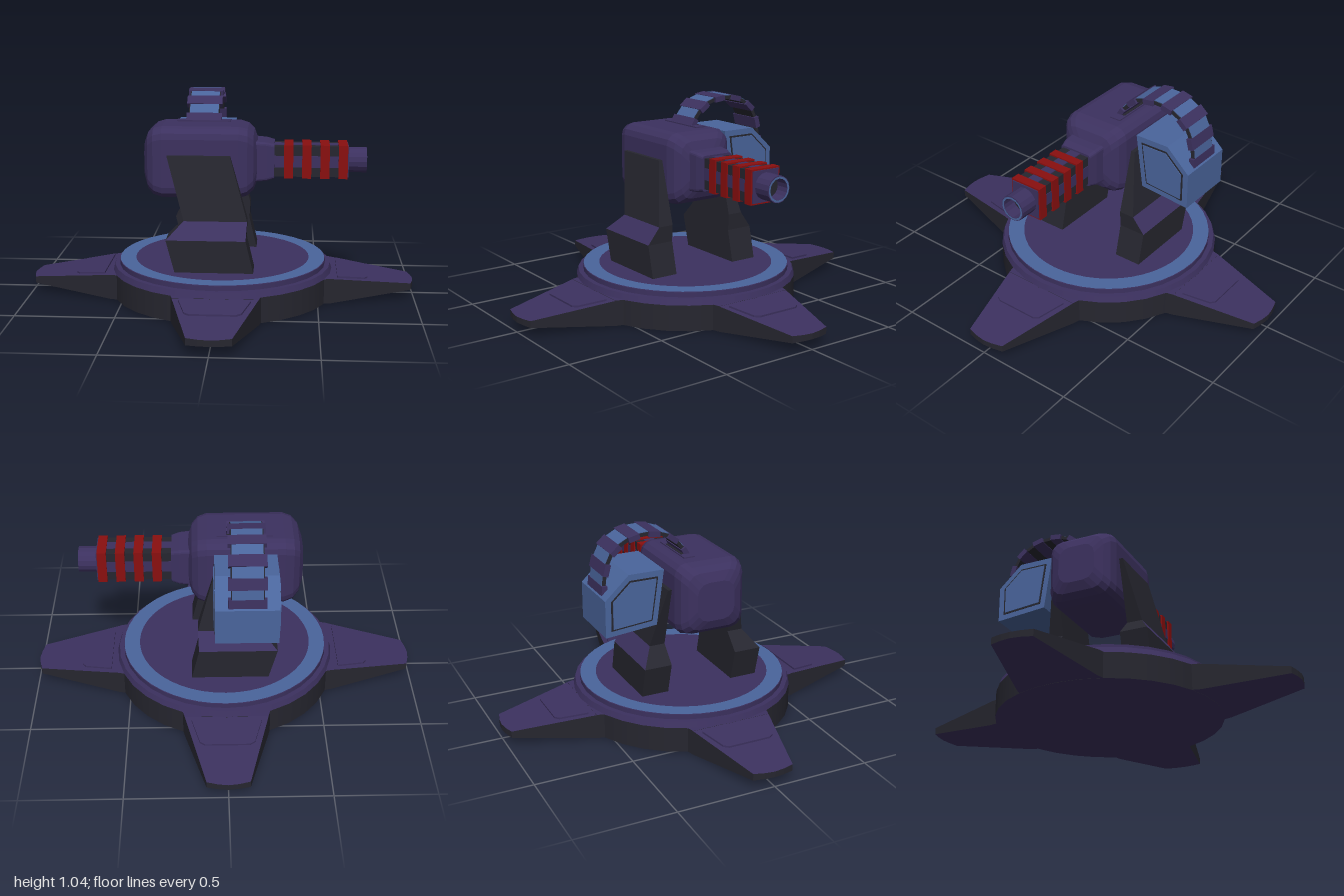
import * as THREE from 'three';

const paint = (name, color) => {
  const m = new THREE.MeshStandardMaterial({ color });
  m.name = name;
  return m;
};

// Skin a list of equal-length point rings, with end caps; pick(level, side) gives a material index
function loft(rings, pick = () => 0) {
  const buckets = [[], []];
  const n = rings[0].length;
  const tri = (k, ...pts) => pts.forEach(p => buckets[k].push(...p));
  for (let l = 0; l < rings.length - 1; l++) {
    for (let i = 0; i < n; i++) {
      const j = (i + 1) % n, a = rings[l], b = rings[l + 1], k = pick(l, i);
      tri(k, a[i], a[j], b[j]);
      tri(k, a[i], b[j], b[i]);
    }
  }
  const first = rings[0], last = rings[rings.length - 1];
  for (let i = 1; i < n - 1; i++) {
    tri(0, first[0], first[i + 1], first[i]);
    tri(0, last[0], last[i], last[i + 1]);
  }
  const g = new THREE.BufferGeometry();
  g.setAttribute('position', new THREE.Float32BufferAttribute([...buckets[0], ...buckets[1]], 3));
  g.addGroup(0, buckets[0].length / 3, 0);
  g.addGroup(buckets[0].length / 3, buckets[1].length / 3, 1);
  g.computeVertexNormals();
  return g;
}

// Rounded rectangle ring across the x axis
function roundedRing(x, hy, hz, r, cy) {
  const pts = [];
  const corners = [[1, 1], [-1, 1], [-1, -1], [1, -1]];
  corners.forEach(([sy, sz], c) => {
    for (let k = 0; k <= 3; k++) {
      const a = (c + k / 3) * Math.PI / 2;
      pts.push([x, cy + sy * (hy - r) + r * Math.cos(a), sz * (hz - r) + r * Math.sin(a)]);
    }
  });
  return pts;
}

// Plan outline (radius, width) raised to a slab whose underside and top follow the radius
function slab(points, low, high) {
  const g = new THREE.ExtrudeGeometry(new THREE.Shape(points.map(p => new THREE.Vector2(...p))),
    { depth: 1, bevelEnabled: false });
  g.rotateX(-Math.PI / 2);
  const p = g.attributes.position;
  for (let i = 0; i < p.count; i++) p.setY(i, p.getY(i) > 0.5 ? high(p.getX(i)) : low(p.getX(i)));
  g.computeVertexNormals();
  return g;
}

export function createModel() {
  const purple = paint('purple armour', 0x3c315f);
  const dark = paint('dark metal', 0x26262f);
  const blue = paint('blue trim', 0x4a659c);
  const red = paint('red bands', 0x8a0f0f);
  const model = new THREE.Group();
  model.name = 'turret';

  const add = (name, geometry, material, x = 0, y = 0, z = 0, parent = model) => {
    const m = new THREE.Mesh(geometry, material);
    m.name = name;
    m.position.set(x, y, z);
    parent.add(m);
    return m;
  };
  const box = (name, w, h, d, mat, x, y, z, parent) =>
    add(name, new THREE.BoxGeometry(w, h, d), mat, x, y, z, parent);

  // Round base
  add('baseDisc', new THREE.CylinderGeometry(0.575, 0.575, 0.13, 32), [dark, purple, purple], 0, 0.065, 0);
  add('baseFlange', new THREE.CylinderGeometry(0.565, 0.575, 0.03, 32), purple, 0, 0.145, 0);
  add('turntable', new THREE.CylinderGeometry(0.54, 0.54, 0.03, 32), purple, 0, 0.17, 0);
  const trim = new THREE.RingGeometry(0.455, 0.537, 48);
  trim.rotateX(-Math.PI / 2);
  add('baseTrimRing', trim, blue, 0, 0.188, 0);

  // Four tapering feet
  const slope = (a, b) => r => a + (b - a) * (r - 0.57) / 0.43;
  const top = slope(0.13, 0.08);
  const root = slab([[0.35, -0.21], [0.53, -0.22], [0.57, -0.21], [0.57, 0.21], [0.53, 0.22], [0.35, 0.21]],
    () => 0.001, () => 0.131);
  const toe = slab([[0.57, -0.21], [0.98, -0.105], [0.994, -0.05], [1, 0], [0.994, 0.05], [0.98, 0.105], [0.57, 0.21]],
    slope(0.001, 0.05), top);
  const panel = slab([[0.6, -0.175], [0.74, -0.135], [0.757, -0.11], [0.757, 0.11], [0.74, 0.135], [0.6, 0.175]],
    top, r => top(r) + 0.009);
  for (let i = 0; i < 4; i++) {
    const foot = new THREE.Group();
    foot.name = 'foot';
    foot.rotation.y = i * Math.PI / 2;
    model.add(foot);
    add('footRoot', root, [purple, dark], 0, 0, 0, foot);
    add('footToe', toe, [purple, dark], 0, 0, 0, foot);
    add('footPanel', panel, purple, 0, 0, 0, foot);
  }

  // Pair of bent support arms: y, back x, front x, outer z
  const armLevels = [
    [0.18, -0.22, 0.175, 0.325], [0.35, -0.265, 0.135, 0.325],
    [0.435, -0.18, 0.14, 0.262], [0.755, -0.27, 0.05, 0.2],
  ];
  for (const side of [1, -1]) {
    const rings = armLevels.map(([y, x0, x1, outer]) => {
      const zs = [side * 0.18, side * outer].sort((a, b) => a - b);
      return [[x0, y, zs[1]], [x1, y, zs[1]], [x1, y, zs[0]], [x0, y, zs[0]]];
    });
    const outerFace = side > 0 ? 0 : 2;
    add('supportArm', loft(rings, (l, i) => (l === 1 && i === outerFace ? 1 : 0)), [dark, purple]);
  }

  // Gun body
  const cy = 0.71;
  const body = [
    [-0.395, 0.1, 0.1], [-0.375, 0.147, 0.142], [-0.345, 0.172, 0.168], [-0.3, 0.184, 0.18],
    [0.09, 0.184, 0.18], [0.135, 0.172, 0.168], [0.165, 0.147, 0.142], [0.185, 0.1, 0.1],
  ].map(([x, hy, hz]) => roundedRing(x, hy, hz, 0.06, cy));
  add('gunBody', loft(body), purple);
  box('feedSlotFrame', 0.28, 0.008, 0.06, purple, -0.1, 0.896, -0.07);
  box('feedSlot', 0.18, 0.008, 0.045, dark, -0.1, 0.898, -0.07);

  // Barrel
  add('barrelCollar', loft([[0.17, 0.105], [0.23, 0.1], [0.27, 0.09]]
    .map(([x, h]) => roundedRing(x, h, h, 0.015, cy))), purple);
  box('barrelCore', 0.38, 0.156, 0.156, dark, 0.45, cy, 0);
  box('barrelSideStrip', 0.38, 0.06, 0.162, purple, 0.45, cy, 0);
  box('barrelTopStrip', 0.38, 0.162, 0.06, purple, 0.45, cy, 0);
  for (let i = 0; i < 4; i++) box('barrelBand', 0.047, 0.172, 0.172, red, 0.343 + i * 0.0925, cy, 0);
  box('barrelCap', 0.008, 0.156, 0.156, purple, 0.645, cy, 0);

  // Hollow muzzle, turned around the x axis
  const muzzle = new THREE.LatheGeometry([[0.066, 0.64], [0.066, 0.742], [0.052, 0.742], [0.052, 0.67], [0, 0.67]]
    .map(p => new THREE.Vector2(...p)), 16).toNonIndexed();
  muzzle.rotateZ(-Math.PI / 2);
  muzzle.computeVertexNormals();
  const muzzleMat = purple.clone();
  muzzleMat.side = THREE.DoubleSide;
  add('muzzle', muzzle, muzzleMat, 0, cy, 0);
  const rim = new THREE.RingGeometry(0.052, 0.062, 16);
  rim.rotateY(Math.PI / 2);
  add('muzzleRim', rim, blue, 0.744, cy, 0);
  const bore = new THREE.CircleGeometry(0.052, 16);
  bore.rotateY(Math.PI / 2);
  add('muzzleBore', bore, dark, 0.674, cy, 0);

  // Ammunition box with inset side panels, profile as (-z, y)
  const profile = [[0.255, 0.58], [0.525, 0.555], [0.525, 0.745], [0.4, 0.862], [0.215, 0.862]];
  const prism = (scale, width) => {
    const pts = profile.map(([z, y]) => new THREE.Vector2(0.375 + (z - 0.375) * scale, 0.71 + (y - 0.71) * scale));
    const g = new THREE.ExtrudeGeometry(new THREE.Shape(pts), { depth: width, bevelEnabled: false });
    g.translate(0, 0, -width / 2);
    g.rotateY(Math.PI / 2);
    return g;
  };
  add('ammoBox', prism(1, 0.31), blue, -0.1, 0, 0);
  add('ammoBoxSeam', prism(0.8, 0.314), dark, -0.1, 0, 0);
  add('ammoBoxPanel', prism(0.74, 0.322), blue, -0.1, 0, 0);

  // Curved feed belt of alternating links
  const path = new THREE.CatmullRomCurve3([
    [0.88, -0.05], [0.95, -0.095], [1.005, -0.16], [1.027, -0.27],
    [1.01, -0.37], [0.95, -0.455], [0.86, -0.49], [0.74, -0.505],
  ].map(([y, z]) => new THREE.Vector3(-0.1, y, z)));
  const belt = new THREE.Group();
  belt.name = 'feedBelt';
  model.add(belt);
  const count = 13;
  for (let i = 0; i < count; i++) {
    const a = path.getPointAt(i / count), b = path.getPointAt((i + 1) / count);
    const link = new THREE.Group();
    link.name = 'beltLink';
    link.position.copy(a).add(b).multiplyScalar(0.5);
    link.rotation.x = Math.atan2(b.y - a.y, -(b.z - a.z));
    belt.add(link);
    const len = a.distanceTo(b);
    if (i % 2 === 0) {
      box('wideLink', 0.185, 0.028, len * 1.1, purple, 0, 0, 0, link);
    } else {
      box('narrowLink', 0.16, 0.018, len * 1.05, dark, 0, 0, 0, link);
      box('narrowLinkTop', 0.15, 0.006, len * 1.05, blue, 0, 0.009, 0, link);
    }
  }
  return model;
}
